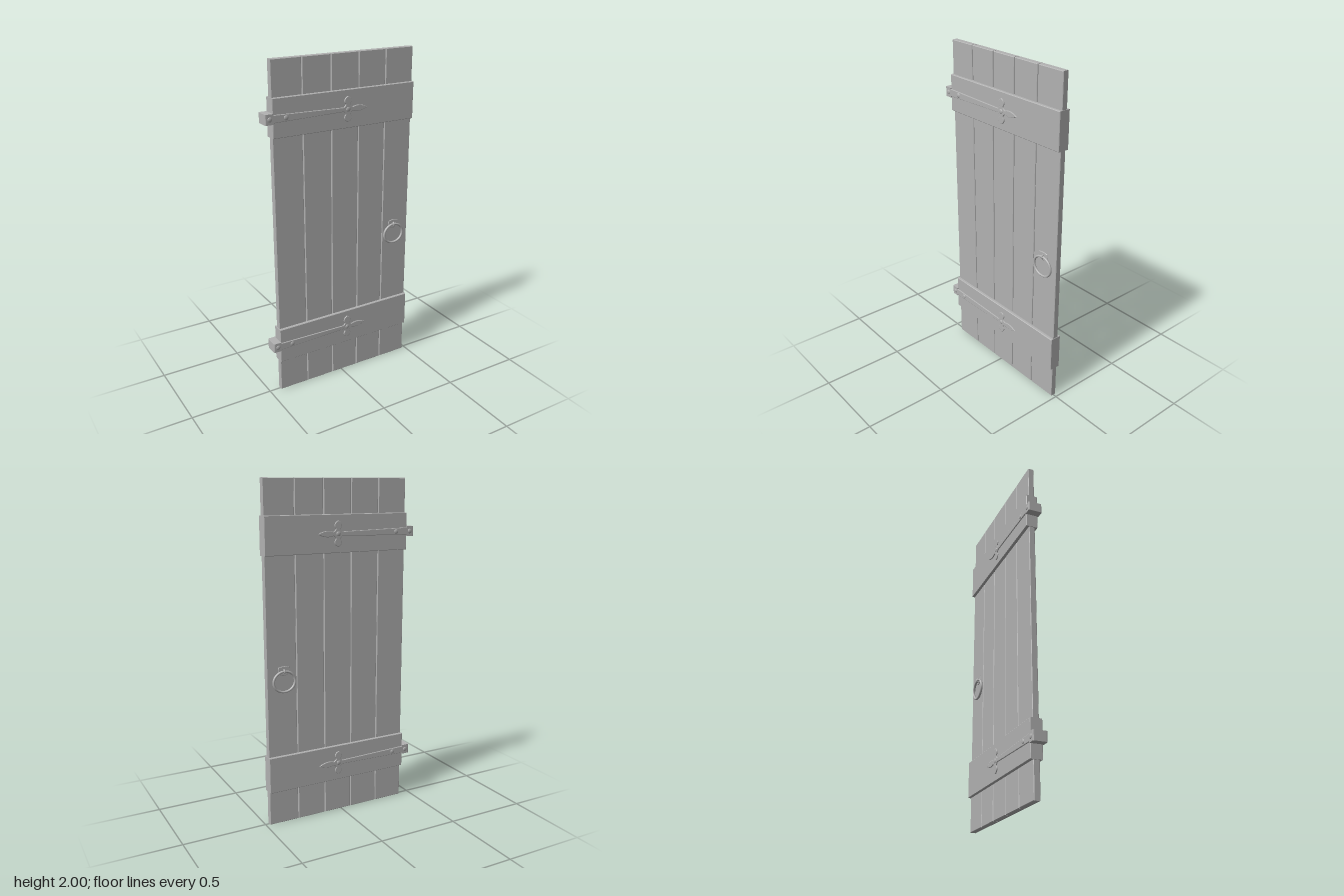
import * as THREE from 'three';

const grey = new THREE.MeshStandardMaterial({ color: 0xb2b2b2 });
grey.name = 'plain grey';
const MID = -0.001; // middle of the door's thickness

function add(parent, geometry, name) {
  const mesh = new THREE.Mesh(geometry, grey);
  mesh.name = name;
  parent.add(mesh);
  return mesh;
}

// Box between two corners with chamfered front and back edges
function board(x0, x1, y0, y1, halfDepth) {
  const c = 0.003;
  const s = new THREE.Shape();
  s.moveTo(x0 + c, y0 + c);
  s.lineTo(x1 - c, y0 + c);
  s.lineTo(x1 - c, y1 - c);
  s.lineTo(x0 + c, y1 - c);
  s.closePath();
  const g = new THREE.ExtrudeGeometry(s, {
    depth: 2 * (halfDepth - c), bevelEnabled: true, bevelSize: c, bevelThickness: c, bevelSegments: 1,
  });
  return g.translate(0, 0, MID - halfDepth + c);
}

// Hinge strap: tapered bar ending in a three-lobed finial
function strapShape() {
  const s = new THREE.Shape();
  s.moveTo(-0.435, -0.019);
  s.lineTo(0.005, -0.009);
  s.bezierCurveTo(0.012, -0.018, 0.02, -0.025, 0.016, -0.032);
  s.bezierCurveTo(0.002, -0.045, 0.01, -0.062, 0.029, -0.07);
  s.bezierCurveTo(0.05, -0.062, 0.056, -0.045, 0.042, -0.032);
  s.bezierCurveTo(0.038, -0.024, 0.046, -0.016, 0.06, -0.008);
  s.bezierCurveTo(0.085, -0.018, 0.115, -0.018, 0.152, 0);
  s.bezierCurveTo(0.115, 0.018, 0.085, 0.018, 0.06, 0.008);
  s.bezierCurveTo(0.046, 0.016, 0.038, 0.024, 0.042, 0.032);
  s.bezierCurveTo(0.056, 0.045, 0.05, 0.062, 0.029, 0.07);
  s.bezierCurveTo(0.01, 0.062, 0.002, 0.045, 0.016, 0.032);
  s.bezierCurveTo(0.02, 0.025, 0.012, 0.018, 0.005, 0.009);
  s.lineTo(-0.435, 0.019);
  s.closePath();
  return s;
}

// Fittings of one face of a hinge, facing +z
function hingeFace() {
  const face = new THREE.Group();
  face.name = 'hingeFace';
  const strap = new THREE.ExtrudeGeometry(strapShape(), {
    depth: 0.006, bevelEnabled: true, bevelSize: 0.003, bevelThickness: 0.003, bevelSegments: 2, curveSegments: 8,
  });
  add(face, strap, 'hingeStrap').position.z = 0.032;
  // Domed rivets
  for (const x of [-0.453, -0.357, 0.029]) {
    const dome = new THREE.SphereGeometry(0.014, 16, 5, 0, Math.PI * 2, 0, Math.PI / 2);
    const rivet = add(face, dome, 'rivet');
    rivet.rotation.x = Math.PI / 2;
    rivet.scale.y = 0.35;
    rivet.position.set(x, 0, 0.0405);
  }
  return face;
}

// Block joining the front and back straps around the door's edge
function hingeWrap() {
  const s = new THREE.Shape();
  const d = 0.041, c = 0.008;
  s.moveTo(-0.43, -d);
  s.lineTo(-0.43, d);
  s.lineTo(-0.48 + c, d);
  s.quadraticCurveTo(-0.48, d, -0.48, d - c);
  s.lineTo(-0.48, -d + c);
  s.quadraticCurveTo(-0.48, -d, -0.48 + c, -d);
  s.closePath();
  const g = new THREE.ExtrudeGeometry(s, { depth: 0.058, bevelEnabled: false, curveSegments: 4 });
  return g.rotateX(-Math.PI / 2).translate(0, -0.029, MID);
}

// Ring pull with its backplate and knuckle, facing +z
function handle() {
  const g = new THREE.Group();
  g.name = 'ringHandle';
  const s = new THREE.Shape();
  s.moveTo(-0.032, 0.083);
  s.quadraticCurveTo(0, 0.093, 0.032, 0.083);
  s.lineTo(0.034, 0.06);
  s.bezierCurveTo(0.025, 0.042, 0.012, 0.036, 0, 0.036);
  s.bezierCurveTo(-0.012, 0.036, -0.025, 0.042, -0.034, 0.06);
  s.closePath();
  const plate = new THREE.ExtrudeGeometry(s, {
    depth: 0.004, bevelEnabled: true, bevelSize: 0.002, bevelThickness: 0.002, bevelSegments: 1, curveSegments: 8,
  });
  add(g, plate, 'handlePlate').position.z = 0.016;
  const ring = add(g, new THREE.TorusGeometry(0.067, 0.0075, 10, 40), 'pullRing');
  ring.scale.y = 0.9;
  ring.position.z = 0.025;
  const knuckle = add(g, new THREE.TorusGeometry(0.011, 0.005, 8, 16), 'ringKnuckle');
  knuckle.rotation.y = Math.PI / 2;
  knuckle.position.set(0, 0.06, 0.02);
  return g;
}

// Place a fitting on the front and a second one, turned about an axis, on the back
function bothFaces(parent, make, x, y, axis) {
  for (const turn of [0, Math.PI]) {
    const fitting = make();
    fitting.position.set(x, y, MID);
    fitting.rotation[axis] = turn;
    parent.add(fitting);
  }
}

export function createModel() {
  const door = new THREE.Group();
  door.name = 'plankDoor';

  // Five upright planks with narrow seams
  const seams = [-0.432, -0.246, -0.066, 0.112, 0.291, 0.478];
  for (let i = 0; i < 5; i++) {
    add(door, board(seams[i] + 0.002, seams[i + 1] - 0.002, 0, 2, 0.018), 'plank');
  }

  // Cross battens with strap hinges
  for (const [y0, y1, hingeY] of [[0.205, 0.422, 0.314], [1.584, 1.801, 1.692]]) {
    add(door, board(-0.434, 0.479, y0, y1, 0.035), 'batten');
    add(door, hingeWrap(), 'hingeWrap').position.y = hingeY;
    bothFaces(door, hingeFace, 0, hingeY, 'x');
  }

  // Ring handles
  bothFaces(door, handle, 0.372, 0.868, 'y');
  return door;
}
